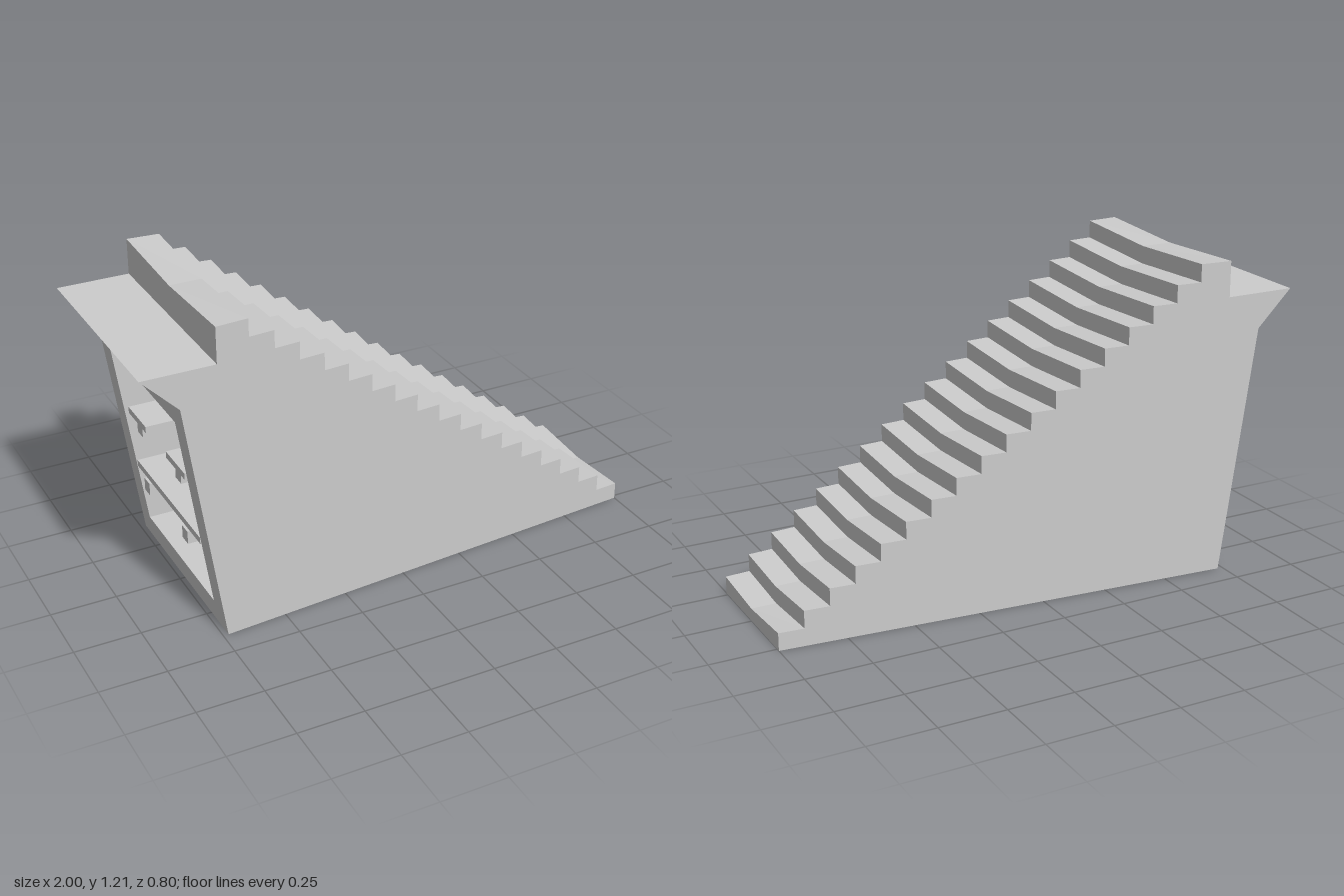
import * as THREE from 'three';

const BACK = -0.73, RISE = 1.205 / 18, RUN = 1.61 / 17;
const HALF = 0.4, LEDGE = 1.07, WALL_TOP = 0.935, DIP = 0.018;
const material = new THREE.MeshStandardMaterial({ color: 0xcccccc, flatShading: true });
const inside = new THREE.MeshStandardMaterial({ color: 0xcccccc, flatShading: true, side: THREE.DoubleSide });

// x of the leaning rear wall at height y
const wallX = y => BACK - 0.135 * y / WALL_TOP;
// half width of the plan at x
const halfWidth = x => HALF - 0.135 * Math.max(0, x - BACK) / (1 - BACK);

function mesh(name, geometry, mat = material) {
  const m = new THREE.Mesh(geometry, mat);
  m.name = name;
  return m;
}

function box(name, x0, x1, y0, y1, z, depth) {
  const m = mesh(name, new THREE.BoxGeometry(x1 - x0, y1 - y0, depth));
  m.position.set((x0 + x1) / 2, (y0 + y1) / 2, z);
  return m;
}

// Extrude a side profile across z, taper it, bend the mid line, and leave out unwanted side faces
function profileBlock(points, dip, drop) {
  const shape = new THREE.Shape(points.map(p => new THREE.Vector2(...p)));
  const g = new THREE.ExtrudeGeometry(shape, { depth: 2, steps: 2, bevelEnabled: false });
  g.translate(0, 0, -1);
  const p = g.attributes.position, out = [];
  for (let i = 0; i < p.count; i += 3) {
    const tri = [0, 1, 2].map(k => new THREE.Vector3().fromBufferAttribute(p, i + k));
    const isCap = tri.every(v => Math.abs(v.z - tri[0].z) < 1e-4);
    if (!isCap && drop(tri)) continue;
    for (const v of tri) {
      const y = Math.abs(v.z) < 1e-4 && dip(v) ? v.y - DIP : v.y;
      out.push(v.x, y, v.z * halfWidth(v.x));
    }
  }
  const result = new THREE.BufferGeometry();
  result.setAttribute('position', new THREE.Float32BufferAttribute(out, 3));
  result.computeVertexNormals();
  return result;
}

export function createModel() {
  const group = new THREE.Group();

  // Stair flight with treads worn down along the middle
  const steps = [[BACK, 0], [1, 0]];
  for (let i = 0; i < 18; i++) {
    const y = (i + 1) * RISE;
    steps.push([1 - i * RUN, y], [i < 17 ? 1 - (i + 1) * RUN : BACK, y]);
  }
  steps.push([BACK, LEDGE]);
  const onBack = v => Math.abs(v.x - BACK) < 1e-3;
  group.add(mesh('stairs', profileBlock(steps,
    v => v.y > 0.01 && !(onBack(v) && v.y < LEDGE + 0.01),
    tri => tri.every(v => onBack(v) && v.y < LEDGE + 0.01))));

  // Leaning rear part with overhanging ledge, open where the niche frame goes
  group.add(mesh('rearLedge', profileBlock(
    [[BACK, 0], [BACK, LEDGE], [-1, LEDGE], [wallX(WALL_TOP), WALL_TOP]],
    () => false,
    tri => tri.every(onBack) || tri.every(v => v.y < WALL_TOP + 0.01))));

  // Rear wall around the niche opening
  const nz = 0.31, y0 = 0.093, y1 = 0.842, nicheBack = -0.53;
  const rect = (T, w, a, b) => new T([[-w, a], [w, a], [w, b], [-w, b]].map(p => new THREE.Vector2(...p)));
  const wall = rect(THREE.Shape, HALF, 0, WALL_TOP);
  wall.holes.push(rect(THREE.Path, nz, y0, y1));
  const wallGeo = new THREE.ShapeGeometry(wall);
  const wp = wallGeo.attributes.position;
  for (let i = 0; i < wp.count; i++) wp.setXYZ(i, wallX(wp.getY(i)), wp.getY(i), wp.getX(i));
  wallGeo.computeVertexNormals();
  group.add(mesh('rearWall', wallGeo));

  // Niche lining: a box without its outer face, its rim leaning with the wall
  const niche = new THREE.BoxGeometry(1, y1 - y0, 2 * nz);
  niche.translate(0, (y0 + y1) / 2, 0);
  const np = niche.attributes.position;
  for (let i = 0; i < np.count; i++) np.setX(i, np.getX(i) < 0 ? wallX(np.getY(i)) : nicheBack);
  const index = Array.from(niche.index.array);
  index.splice(6, 6);
  niche.setIndex(index);
  niche.clearGroups();
  niche.computeVertexNormals();
  group.add(mesh('niche', niche, inside));

  // Wide lower shelf and two short upper shelves on brackets
  group.add(box('lowerShelf', -0.78, nicheBack, 0.335, 0.36, 0, 0.6));
  for (const side of [-1, 1]) {
    const z = side * 0.182;
    group.add(box('lowerBracket', -0.79, nicheBack, 0.285, 0.335, z, 0.05));
    group.add(box('upperShelf', -0.812, nicheBack, 0.585, 0.61, z, 0.17));
    group.add(box('upperBracket', -0.803, nicheBack, 0.535, 0.585, z, 0.05));
  }
  return group;
}
